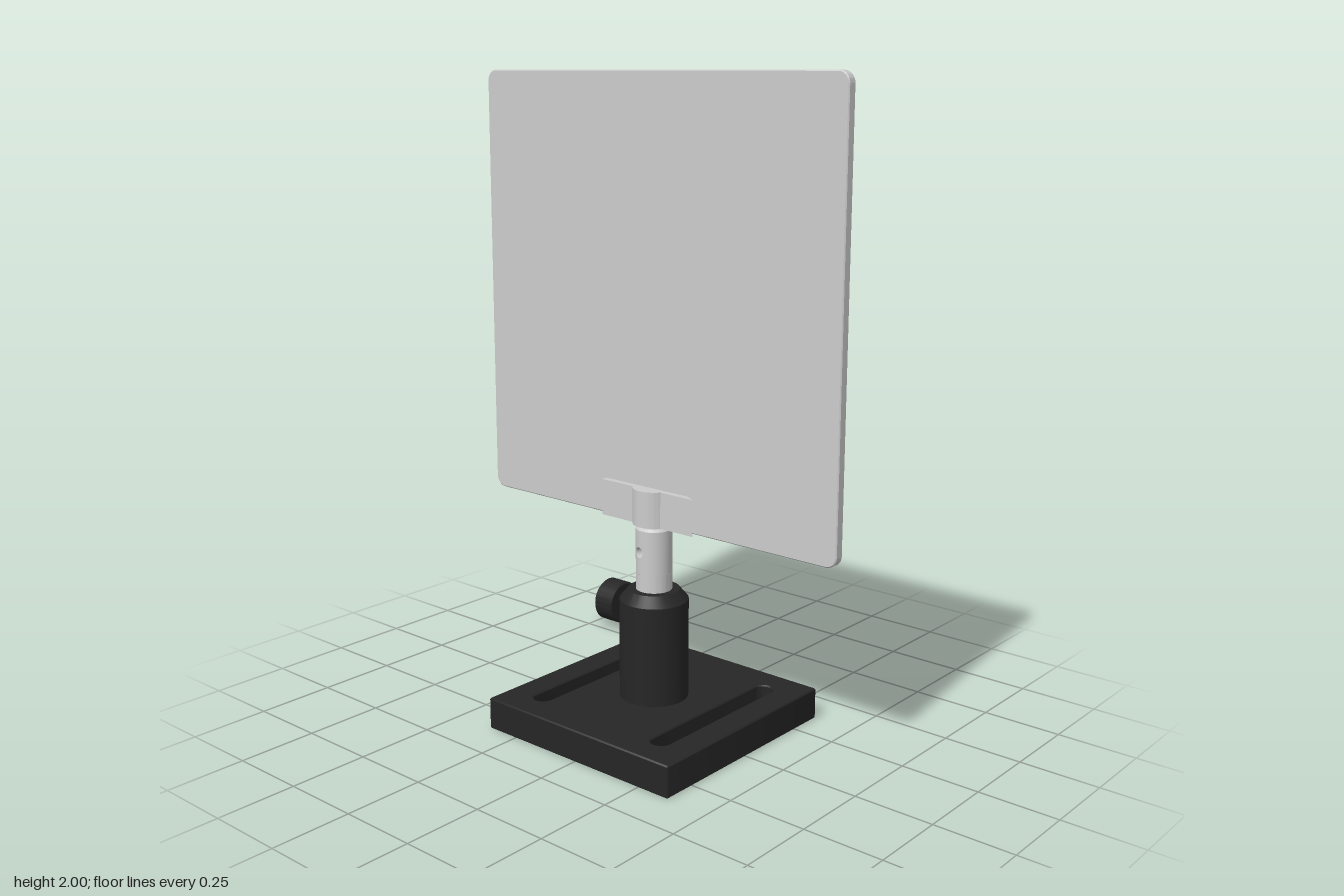
import * as THREE from 'three';
import { toCreasedNormals } from 'three/addons/utils/BufferGeometryUtils.js';

const grey = new THREE.MeshStandardMaterial({ color: 0xcccccc, side: THREE.DoubleSide });
const black = new THREE.MeshStandardMaterial({ color: 0x262626 });

const POST_R = 0.056, HOLE_R = 0.017, HOLE_Y = 0.57, HOLE_YAW = 1.31;

function part(name, geometry, material) {
  const mesh = new THREE.Mesh(geometry, material);
  mesh.name = name;
  return mesh;
}

// Solid of revolution about y, from [radius, height] pairs listed bottom to top
function turned(profile, segments = 64) {
  const points = profile.map(([r, y]) => new THREE.Vector2(r, y));
  return toCreasedNormals(new THREE.LatheGeometry(points, segments), 0.4);
}

// Extrusion with a small bevel that stays inside the given outline and depth
function slab(shape, depth, bevel) {
  const geometry = new THREE.ExtrudeGeometry(shape, {
    depth: depth - 2 * bevel, bevelEnabled: bevel > 0, bevelThickness: bevel,
    bevelSize: bevel, bevelOffset: -bevel, bevelSegments: 1, curveSegments: 16,
  });
  geometry.translate(0, 0, bevel);
  return toCreasedNormals(geometry, 0.4);
}

function roundedRect(halfW, halfH, r, target = new THREE.Shape()) {
  const x = halfW - r, y = halfH - r;
  target.absarc(x, y, r, 0, Math.PI / 2);
  target.absarc(-x, y, r, Math.PI / 2, Math.PI);
  target.absarc(-x, -y, r, Math.PI, Math.PI * 1.5);
  target.absarc(x, -y, r, Math.PI * 1.5, Math.PI * 2);
  target.closePath();
  return target;
}

// Square foot with two long slots through it
function basePlate() {
  const shape = roundedRect(0.362, 0.362, 0.006);
  for (const z of [-0.24, 0.24]) {
    const slot = new THREE.Path();
    slot.absarc(0.246, z, 0.031, -Math.PI / 2, Math.PI / 2);
    slot.absarc(-0.246, z, 0.031, Math.PI / 2, Math.PI * 1.5);
    slot.closePath();
    shape.holes.push(slot);
  }
  return slab(shape, 0.1, 0.004).rotateX(-Math.PI / 2);
}

// Half of the post wall, spread from the rim of the cross hole to the half's border
function drilledHalf() {
  const geometry = new THREE.PlaneGeometry(1, 1, 12, 64);
  const pos = geometry.attributes.position, normal = geometry.attributes.normal;
  for (let i = 0; i < pos.count; i++) {
    const t = pos.getX(i) + 0.5, a = (pos.getY(i) + 0.5) * Math.PI * 2;
    const c = Math.cos(a), s = Math.sin(a), k = 1 / Math.max(Math.abs(c), Math.abs(s));
    const theta = THREE.MathUtils.lerp(Math.asin(HOLE_R * c / POST_R), Math.PI / 2 * c * k, t);
    const y = HOLE_Y + THREE.MathUtils.lerp(HOLE_R * s, 0.07 * s * k, t);
    pos.setXYZ(i, POST_R * Math.sin(theta), y, POST_R * Math.cos(theta));
    normal.setXYZ(i, Math.sin(theta), 0, Math.cos(theta));
  }
  return geometry;
}

// Inside of the cross hole, its ends trimmed to the post's curve
function crossBore() {
  const geometry = new THREE.CylinderGeometry(HOLE_R, HOLE_R, 1, 32, 1, true).rotateX(Math.PI / 2);
  const pos = geometry.attributes.position;
  for (let i = 0; i < pos.count; i++) {
    pos.setZ(i, Math.sign(pos.getZ(i)) * Math.sqrt(POST_R ** 2 - pos.getX(i) ** 2));
  }
  return geometry.translate(0, HOLE_Y, 0);
}

function post() {
  const group = new THREE.Group();
  group.name = 'post';
  group.add(part('postLower', turned([[0, 0.4], [POST_R, 0.4], [POST_R, 0.5]]), grey));
  for (const turn of [0, Math.PI]) {
    const half = part('postDrilledHalf', drilledHalf(), grey);
    half.rotation.y = HOLE_YAW + turn;
    group.add(half);
  }
  const bore = part('postCrossHole', crossBore(), grey);
  bore.rotation.y = HOLE_YAW;
  group.add(bore);
  group.add(part('postNeck', turned([[POST_R, 0.64], [0.049, 0.648], [0.045, 0.648], [0.045, 0.66]]), grey));
  return group;
}

// Flat bar with a round boss in the middle, gripping the panel's lower edge
function clamp() {
  const w = 0.035, l = 0.181, r = 0.065, a = Math.acos(w / r);
  const shape = new THREE.Shape();
  shape.moveTo(w, -l);
  shape.absarc(0, 0, r, -a, a);
  shape.lineTo(w, l);
  shape.lineTo(-w, l);
  shape.absarc(0, 0, r, Math.PI - a, Math.PI + a);
  shape.lineTo(-w, -l);
  shape.closePath();
  return slab(shape, 0.113, 0).rotateX(-Math.PI / 2).translate(0, 0.655, 0);
}

export function createModel() {
  const model = new THREE.Group();
  model.name = 'panelOnStand';

  model.add(part('basePlate', basePlate(), black));
  model.add(part('postHolder', turned([
    [0.107, 0.095], [0.107, 0.415], [0.08, 0.447], [POST_R, 0.447], [POST_R, 0.4],
  ]), black));

  // Clamping screw at the back of the holder
  const screw = part('clampScrew', turned([[0.025, 0.09], [0.025, 0.13]], 32), grey);
  const knob = part('knob', turned([
    [0, 0.122], [0.061, 0.122], [0.065, 0.126], [0.065, 0.187], [0.061, 0.191], [0, 0.191],
  ]), black);
  screw.material = black;
  for (const mesh of [screw, knob]) {
    mesh.rotation.x = -Math.PI / 2;
    mesh.position.y = 0.37;
    model.add(mesh);
  }

  model.add(post());
  model.add(part('panelClamp', clamp(), grey));

  // Upright panel standing in the y-z plane
  const panel = slab(roundedRect(0.674, 0.672, 0.035), 0.03, 0.003);
  panel.translate(0, 1.328, -0.015).rotateY(Math.PI / 2);
  model.add(part('panel', panel, grey));
  return model;
}
